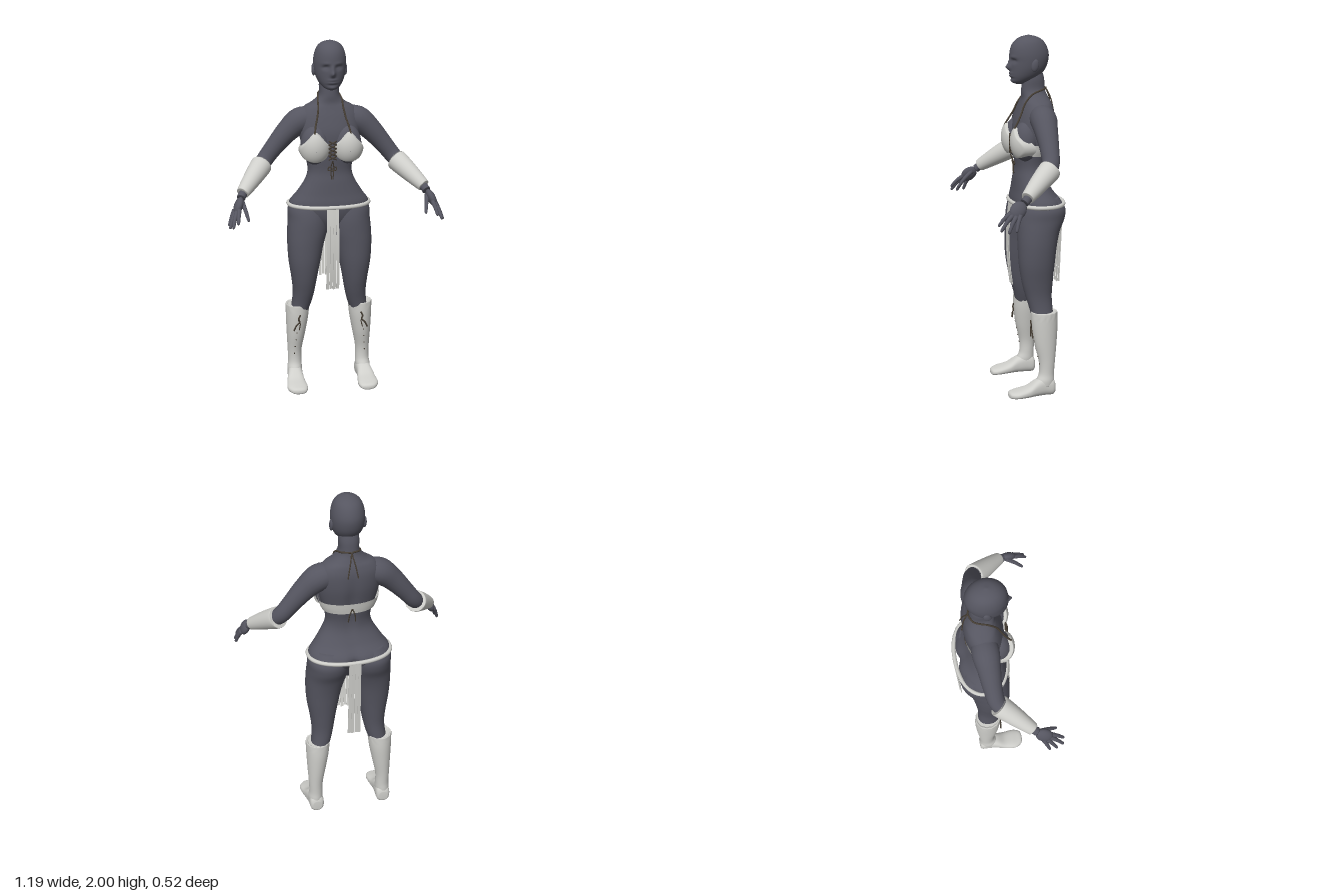
import * as THREE from 'three';

const mat = (name, color, side = THREE.FrontSide) => {
  const m = new THREE.MeshStandardMaterial({ color, side });
  m.name = name;
  return m;
};

// Catmull-Rom resampling of rows of numbers
function resample(rows, sub) {
  const out = [], n = rows.length;
  for (let i = 0; i < n - 1; i++) {
    const [a, b, c, d] = [rows[Math.max(i - 1, 0)], rows[i], rows[i + 1], rows[Math.min(i + 2, n - 1)]];
    for (let k = 0; k < sub; k++) {
      const t = k / sub;
      out.push(b.map((_, q) => 0.5 * (2 * b[q] + (c[q] - a[q]) * t
        + (2 * a[q] - 5 * b[q] + 4 * c[q] - d[q]) * t * t
        + (3 * b[q] - a[q] - 3 * c[q] + d[q]) * t * t * t)));
    }
  }
  out.push(rows[n - 1]);
  return out;
}

// Skin a list of rings (arrays of Vector3)
function skin(rings, closed = true, caps = true) {
  const pos = [], idx = [], m = rings[0].length, n = rings.length;
  rings.forEach(r => r.forEach(p => pos.push(p.x, p.y, p.z)));
  for (let i = 0; i < n - 1; i++) {
    for (let j = 0; j < (closed ? m : m - 1); j++) {
      const a = i * m + j, b = i * m + (j + 1) % m;
      idx.push(a, a + m, b, b, a + m, b + m);
    }
  }
  if (caps) {
    [0, n - 1].forEach((r, end) => {
      const c = rings[r].reduce((s, p) => s.add(p), new THREE.Vector3()).divideScalar(m);
      const k = pos.push(c.x, c.y, c.z) / 3 - 1;
      for (let j = 0; j < m; j++) {
        const a = r * m + j, b = r * m + (j + 1) % m;
        idx.push(k, end ? b : a, end ? a : b);
      }
    });
  }
  const g = new THREE.BufferGeometry();
  g.setAttribute('position', new THREE.Float32BufferAttribute(pos, 3));
  g.setIndex(idx);
  g.computeVertexNormals();
  return g;
}

// Upright loft: rows are [y, centreX, halfWidth, frontZ, backZ]
function loft(rows, { segs = 40, sub = 5, e = 2, tweak, arc = null, caps = true } = {}) {
  const pw = v => Math.sign(v) * Math.pow(Math.abs(v), 2 / e);
  const rings = resample(rows, sub).map(([y, cx, hw, zf, zb]) =>
    Array.from({ length: arc ? segs + 1 : segs }, (_, j) => {
      const a = arc ? arc[0] + (arc[1] - arc[0]) * j / segs : j / segs * Math.PI * 2;
      const p = new THREE.Vector3(cx + hw * pw(Math.cos(a)), y, (zf + zb) / 2 + (zf - zb) / 2 * pw(Math.sin(a)));
      if (tweak) tweak(p);
      return p;
    }));
  return skin(rings, !arc, caps && !arc);
}

// Limb along a path: rows are [x, y, z, radius]
function limb(rows, segs = 20, sub = 5) {
  const s = resample(rows, sub), ref = new THREE.Vector3(0, 0, 1);
  const pts = s.map(r => new THREE.Vector3(r[0], r[1], r[2]));
  return skin(pts.map((p, i) => {
    const t = pts[Math.min(i + 1, pts.length - 1)].clone().sub(pts[Math.max(i - 1, 0)]).normalize();
    const u = ref.clone().cross(t).normalize(), v = u.clone().cross(t).normalize();
    return Array.from({ length: segs }, (_, j) => {
      const a = j / segs * Math.PI * 2;
      return p.clone().addScaledVector(u, Math.cos(a) * s[i][3]).addScaledVector(v, Math.sin(a) * s[i][3]);
    });
  }));
}

const cord = (pts, r = 0.004, closed = false) => new THREE.TubeGeometry(
  new THREE.CatmullRomCurve3(pts.map(p => new THREE.Vector3(...p)), closed), closed ? 96 : 24, r, 8, closed);

function mirrored(g) {
  const m = g.clone().scale(-1, 1, 1), ix = m.index.array;
  for (let i = 0; i < ix.length; i += 3) [ix[i], ix[i + 1]] = [ix[i + 1], ix[i]];
  return m;
}

export function createModel() {
  const root = new THREE.Group();
  const skinMat = mat('slate skin', 0x555560);
  const cloth = mat('pale leather', 0xcfcfcb, THREE.DoubleSide);
  const lace = mat('dark lace', 0x463e34);
  const add = (name, g, m) => {
    const mesh = new THREE.Mesh(g, m);
    mesh.name = name;
    root.add(mesh);
  };
  const pair = (name, g, m) => { add(name + 'Left', g, m); add(name + 'Right', mirrored(g), m); };
  const bump = (v, c, w) => Math.exp(-(((v - c) / w) ** 2));

  // Head with sculpted face
  add('head', loft([
    [1.735, 0, 0.012, 0.005, -0.03], [1.745, 0, 0.035, 0.028, -0.05], [1.76, 0, 0.053, 0.036, -0.09],
    [1.785, 0, 0.07, 0.040, -0.13], [1.82, 0, 0.083, 0.041, -0.158], [1.86, 0, 0.089, 0.041, -0.172],
    [1.9, 0, 0.089, 0.043, -0.175], [1.94, 0, 0.081, 0.034, -0.163], [1.97, 0, 0.066, 0.013, -0.142],
    [1.99, 0, 0.04, -0.017, -0.11], [2.0, 0, 0.004, -0.058, -0.068]], {
    segs: 96, sub: 7, tweak: p => {
      if (p.z < -0.03) return;
      const x = Math.abs(p.x);
      p.z += bump(x, 0, 0.013) * (0.024 * bump(p.y, 1.828, 0.016) + 0.011 * bump(p.y, 1.855, 0.02))
        - 0.013 * bump(x, 0.035, 0.018) * bump(p.y, 1.862, 0.011)
        + 0.006 * bump(x, 0.034, 0.012) * bump(p.y, 1.859, 0.006)
        + 0.004 * bump(x, 0.033, 0.022) * bump(p.y, 1.884, 0.008)
        + 0.007 * bump(x, 0, 0.022) * (bump(p.y, 1.795, 0.006) + bump(p.y, 1.78, 0.006))
        - 0.004 * bump(x, 0, 0.03) * bump(p.y, 1.768, 0.006) + 0.004 * bump(x, 0, 0.02) * bump(p.y, 1.75, 0.008);
    } }), skinMat);
  pair('ear', new THREE.SphereGeometry(1, 16, 12).scale(0.011, 0.034, 0.021).rotateX(-0.2).translate(0.088, 1.84, -0.075), skinMat);

  // Torso and neck
  add('torso', loft([
    [0.92, 0, 0.06, -0.03, -0.13], [1.0, 0, 0.19, 0.015, -0.2], [1.08, 0, 0.228, 0.033, -0.237],
    [1.15, 0, 0.185, 0.025, -0.188], [1.22, 0, 0.142, 0.018, -0.155], [1.28, 0, 0.124, 0.010, -0.15],
    [1.35, 0, 0.134, 0.015, -0.163], [1.42, 0, 0.155, 0.02, -0.178], [1.5, 0, 0.17, 0.02, -0.193],
    [1.58, 0, 0.17, 0.0, -0.195], [1.63, 0, 0.14, -0.017, -0.185], [1.66, 0, 0.09, -0.025, -0.172],
    [1.7, 0, 0.057, -0.024, -0.156], [1.76, 0, 0.055, -0.03, -0.15], [1.8, 0, 0.05, -0.04, -0.14]], {
    segs: 64, e: 2.2, tweak: p => {
      if (p.z < -0.08) p.z += bump(p.x, 0, 0.03) * (0.035 * bump(p.y, 1.02, 0.08) + 0.012 * bump(p.y, 1.4, 0.16));
    } }), skinMat);
  pair('breast', new THREE.SphereGeometry(1, 32, 24).scale(0.08, 0.11, 0.07).translate(0.09, 1.43, -0.02), skinMat);

  // Legs
  pair('leg', loft([
    [0.43, 0.178, 0.05, -0.04, -0.16], [0.5, 0.16, 0.056, -0.025, -0.156], [0.57, 0.15, 0.062, -0.005, -0.154],
    [0.65, 0.147, 0.073, 0.015, -0.16], [0.75, 0.145, 0.09, 0.03, -0.17], [0.85, 0.138, 0.103, 0.034, -0.183],
    [0.93, 0.126, 0.113, 0.034, -0.202], [1.0, 0.118, 0.116, 0.031, -0.232], [1.06, 0.115, 0.115, 0.02, -0.237],
    [1.12, 0.105, 0.09, 0.0, -0.2]], { e: 2.1 }), skinMat);

  // Arms
  pair('arm', limb([
    [0.07, 1.57, -0.1, 0.06], [0.16, 1.555, -0.1, 0.073], [0.235, 1.495, -0.095, 0.062], [0.31, 1.41, -0.09, 0.051],
    [0.37, 1.335, -0.075, 0.046], [0.43, 1.27, -0.005, 0.042], [0.5, 1.2, 0.085, 0.025], [0.515, 1.18, 0.11, 0.024]]), skinMat);
  // Hands: flat palm plus five digits
  const palm = new THREE.SphereGeometry(1, 20, 14).scale(0.024, 0.052, 0.042);
  palm.rotateX(-0.75).rotateZ(0.4).translate(0.533, 1.147, 0.148);
  pair('palm', palm, skinMat);
  [[[0.532, 1.135, 0.185], [0.545, 1.073, 0.257]], [[0.545, 1.125, 0.18], [0.572, 1.05, 0.25]],
    [[0.553, 1.12, 0.163], [0.586, 1.04, 0.213]], [[0.555, 1.125, 0.142], [0.588, 1.045, 0.172]],
    [[0.512, 1.165, 0.135], [0.485, 1.08, 0.228]]].forEach(([a, b], i) => {
    const at = (t, r, lift = 0) => [...a.map((v, q) => v + (b[q] - v) * t + (q === 1 ? lift : 0)), r];
    pair(i < 4 ? 'finger' + (i + 1) : 'thumb',
      limb([at(0, 0.013), at(0.5, 0.0105, 0.006), at(0.92, 0.008), at(1, 0.003)], 12, 4), skinMat);
  });
  pair('gauntlet', limb([[0.382, 1.318, -0.068, 0.054], [0.386, 1.314, -0.063, 0.06],
    [0.44, 1.263, 0.008, 0.051], [0.498, 1.207, 0.082, 0.037], [0.502, 1.203, 0.087, 0.033]], 28), cloth);

  // Boots: shaft and foot
  pair('bootShaft', loft([
    [0.06, 0.203, 0.04, -0.05, -0.156], [0.09, 0.202, 0.042, -0.055, -0.157], [0.13, 0.2, 0.039, -0.07, -0.156],
    [0.2, 0.2, 0.041, -0.068, -0.161], [0.3, 0.193, 0.053, -0.045, -0.171], [0.4, 0.186, 0.064, -0.031, -0.178],
    [0.47, 0.183, 0.068, -0.028, -0.177], [0.485, 0.182, 0.066, -0.03, -0.175], [0.478, 0.18, 0.056, -0.04, -0.165]],
  { tweak: p => { if (p.y > 0.45) p.x += 0.002 * Math.sin(p.z * 200); } }), cloth);
  const foot = loft([
    [-0.108, 0.2, 0.012, 0.022, 0.008], [-0.098, 0.201, 0.04, 0.034, 0], [-0.06, 0.206, 0.058, 0.044, 0],
    [0, 0.207, 0.053, 0.06, 0], [0.05, 0.205, 0.045, 0.092, 0], [0.1, 0.201, 0.042, 0.11, 0],
    [0.145, 0.2, 0.04, 0.1, 0], [0.16, 0.2, 0.026, 0.07, 0.015]],
  { e: 2.5, tweak: p => { p.z = Math.max(p.z, 0); } });
  pair('bootFoot', foot.rotateX(-Math.PI / 2), cloth);
  pair('bootLace', cord([[0.175, 0.435, -0.028], [0.187, 0.41, -0.026], [0.182, 0.39, -0.028],
    [0.2, 0.37, -0.027], [0.215, 0.34, -0.028]], 0.0045), lace);
  pair('bootLaceEnd', cord([[0.187, 0.42, -0.026], [0.178, 0.38, -0.025], [0.185, 0.345, -0.022]], 0.003), lace);
  for (let i = 0; i < 4; i++) {
    pair('bootEyelet' + i, new THREE.SphereGeometry(0.004, 8, 6)
      .translate(0.195 + i * 0.004, 0.32 - i * 0.045, -0.043 - i * 0.009), lace);
  }

  // Top: pointed cups, back band
  const cupRings = [];
  for (let i = 0; i <= 13; i++) {
    const t = Math.max(Math.min(i, 12) / 12, 0.02);
    cupRings.push(Array.from({ length: 48 }, (_, j) => {
      const a = j / 48 * Math.PI * 2, s = Math.max(Math.sin(a), 0);
      const dx = 0.084 * t * Math.cos(a);
      const y = 1.405 + 0.064 * t * Math.sin(a) * (1 + 0.62 * t * s ** 8);
      const z = -0.02 + 0.086 * Math.sqrt(Math.max(0.02, 1 - (dx / 0.09) ** 2 - ((y - 1.43) / 0.118) ** 2));
      return new THREE.Vector3(0.093 + dx, y, i === 13 ? z - 0.06 : z);
    }));
  }
  pair('cup', skin(cupRings.reverse(), true, false), cloth);
  add('backBand', loft([[1.35, 0, 0.145, 0.02, -0.172], [1.38, 0, 0.157, 0.02, -0.179], [1.415, 0, 0.166, 0.02, -0.186]],
    { segs: 48, e: 2.2, arc: [Math.PI * 0.9, Math.PI * 2.1] }), cloth);

  // Neck straps, back ties and front lacing
  pair('neckStrap', cord([[0.1, 1.5, 0.046], [0.092, 1.54, 0.022], [0.08, 1.58, 0.0], [0.07, 1.63, -0.022],
    [0.066, 1.68, -0.065], [0.046, 1.708, -0.14], [0, 1.712, -0.162]], 0.005), lace);
  pair('neckTie', cord([[0, 1.71, -0.162], [0.012, 1.66, -0.185], [0.028, 1.58, -0.2]], 0.0035), lace);
  pair('backTie', cord([[0, 1.385, -0.182], [0.015, 1.345, -0.182], [0.02, 1.3, -0.172]], 0.0035), lace);
  for (let i = 0; i < 5; i++) {
    const y = 1.355 + i * 0.021;
    pair('frontLace' + i, cord([[-0.022, y, 0.037], [0, y + 0.01, 0.043], [0.022, y + 0.021, 0.037]], 0.004), lace);
  }
  pair('frontTie', cord([[0, 1.35, 0.04], [0.008, 1.31, 0.026], [0.004, 1.24, 0.022]], 0.003), lace);
  pair('frontBow', cord([[0, 1.3, 0.024], [0.018, 1.312, 0.024], [0.024, 1.295, 0.022], [0, 1.29, 0.024]], 0.003), lace);

  // Belt
  add('belt', cord(Array.from({ length: 32 }, (_, i) => {
    const a = i / 32 * Math.PI * 2, z = Math.sin(a);
    return [0.229 * Math.sign(Math.cos(a)) * Math.abs(Math.cos(a)) ** 0.9, 1.08,
      -0.106 + 0.142 * Math.sign(z) * Math.abs(z) ** 0.9];
  }), 0.0115, true), cloth);

  // Hanging strips front and back
  for (let i = 0; i < 4; i++) {
    [['frontStrip', t => 0.04 + 0.075 * t * (1 - t) - 0.006 * t], ['backStrip', t => -0.256 + 0.024 * t]].forEach(([name, zAt], k) => {
      const g = new THREE.BoxGeometry(0.0165, 0.47, 0.005, 1, 12, 1), p = g.attributes.position;
      for (let v = 0; v < p.count; v++) {
        const t = 0.5 - p.getY(v) / 0.47;
        p.setXYZ(v, p.getX(v) + (i - 1.5) * (0.0165 + 0.0025 * t), 1.08 - t * (0.478 - 0.006 * (i % 2)),
          p.getZ(v) + zAt(t) + (i % 2 ? 0.004 : -0.002) * t * (k ? -1 : 1));
      }
      g.computeVertexNormals();
      add(name + i, g, cloth);
    });
  }
  return root;
}
